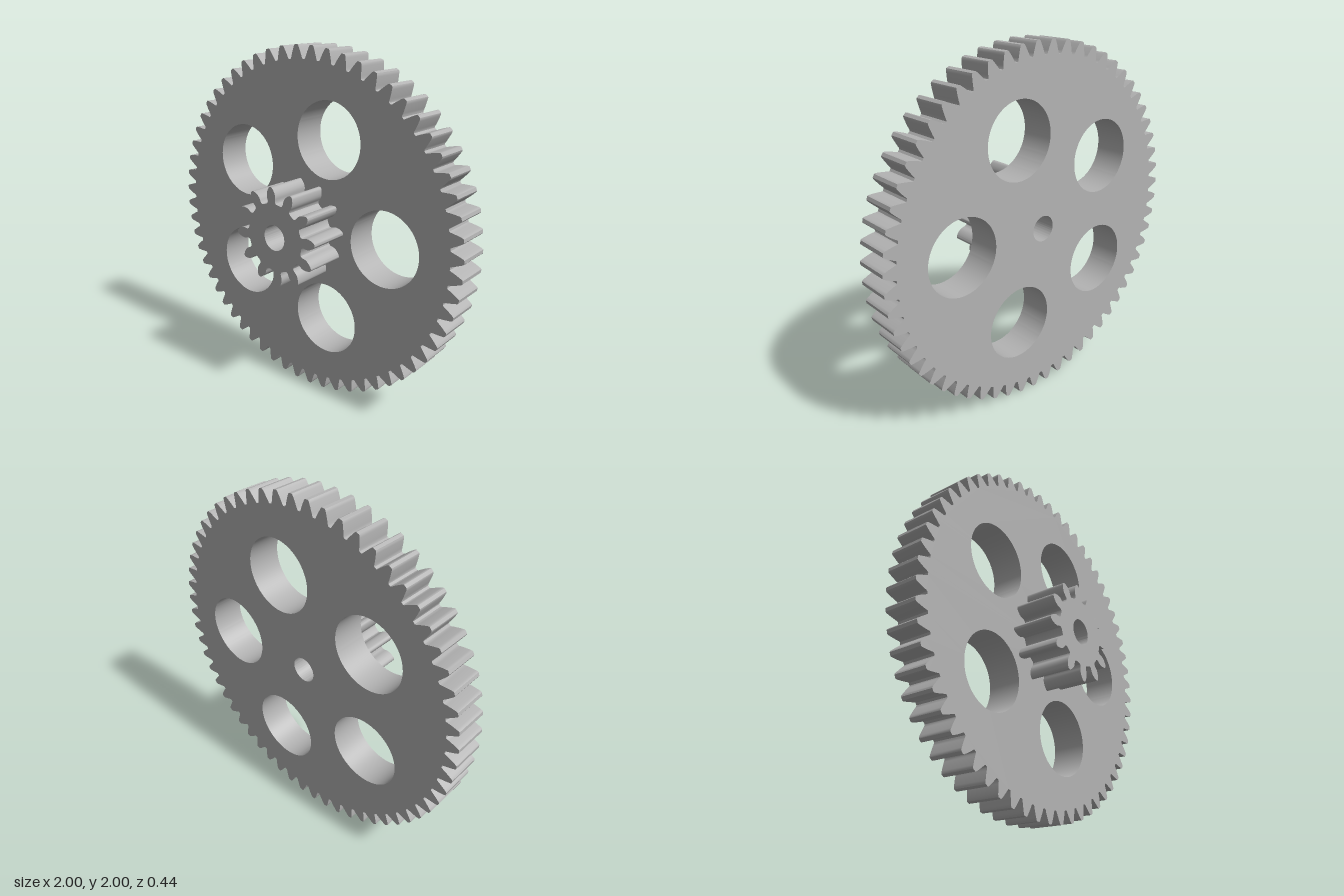
import * as THREE from 'three';
import { toCreasedNormals } from 'three/addons/utils/BufferGeometryUtils.js';

// Gear outline: the half-tooth profile [radius, half width] runs root to tip and is mirrored.
function gearShape(teeth, firstAngle, profile) {
  const points = [];
  const add = (r, a) => points.push(new THREE.Vector2(r * Math.cos(a), r * Math.sin(a)));
  for (let i = 0; i < teeth; i++) {
    const mid = firstAngle + (i / teeth) * Math.PI * 2;
    for (const [r, w] of profile) add(r, mid - w / r);
    for (const [r, w] of [...profile].reverse()) add(r, mid + w / r);
  }
  return new THREE.Shape(points);
}

function addHole(shape, x, y, radius) {
  const hole = new THREE.Path();
  hole.absarc(x, y, radius, 0, Math.PI * 2, true);
  shape.holes.push(hole);
}

function extrudeGear(name, shape, zBack, zFront, material) {
  const raw = new THREE.ExtrudeGeometry(shape, {
    depth: zFront - zBack, bevelEnabled: false, curveSegments: 64,
  });
  const mesh = new THREE.Mesh(toCreasedNormals(raw, 0.5), material);
  mesh.name = name;
  mesh.position.set(0, 1, zBack);
  return mesh;
}

export function createModel() {
  const group = new THREE.Group();
  group.name = 'compoundGear';
  const grey = new THREE.MeshStandardMaterial({ color: 0xb3b3b3 });
  grey.name = 'grey';

  const boreRadius = 0.073;
  const zBack = -0.218, zJoin = -0.023, zFront = 0.218;

  // Large wheel: 60 teeth, five round openings and the bore
  const wheel = gearShape(60, Math.PI / 60, [
    [0.927, 0.042], [0.932, 0.038], [0.945, 0.034], [0.968, 0.0255],
    [0.985, 0.0185], [0.996, 0.0135], [1.0, 0.009],
  ]);
  addHole(wheel, 0, 0, boreRadius);
  for (let i = 0; i < 5; i++) {
    const a = (i / 5) * Math.PI * 2;
    addHole(wheel, 0.546 * Math.cos(a), 0.546 * Math.sin(a), 0.211);
  }
  group.add(extrudeGear('largeWheel', wheel, zBack, zJoin, grey));

  // Small pinion: 12 teeth, undercut at the root
  const pinion = gearShape(12, THREE.MathUtils.degToRad(5), [
    [0.193, 0.036], [0.197, 0.029], [0.207, 0.026], [0.22, 0.0285], [0.234, 0.031],
    [0.248, 0.029], [0.262, 0.0235], [0.274, 0.016], [0.281, 0.01], [0.284, 0.004],
  ]);
  addHole(pinion, 0, 0, boreRadius);
  group.add(extrudeGear('smallPinion', pinion, zJoin, zFront, grey));

  return group;
}
